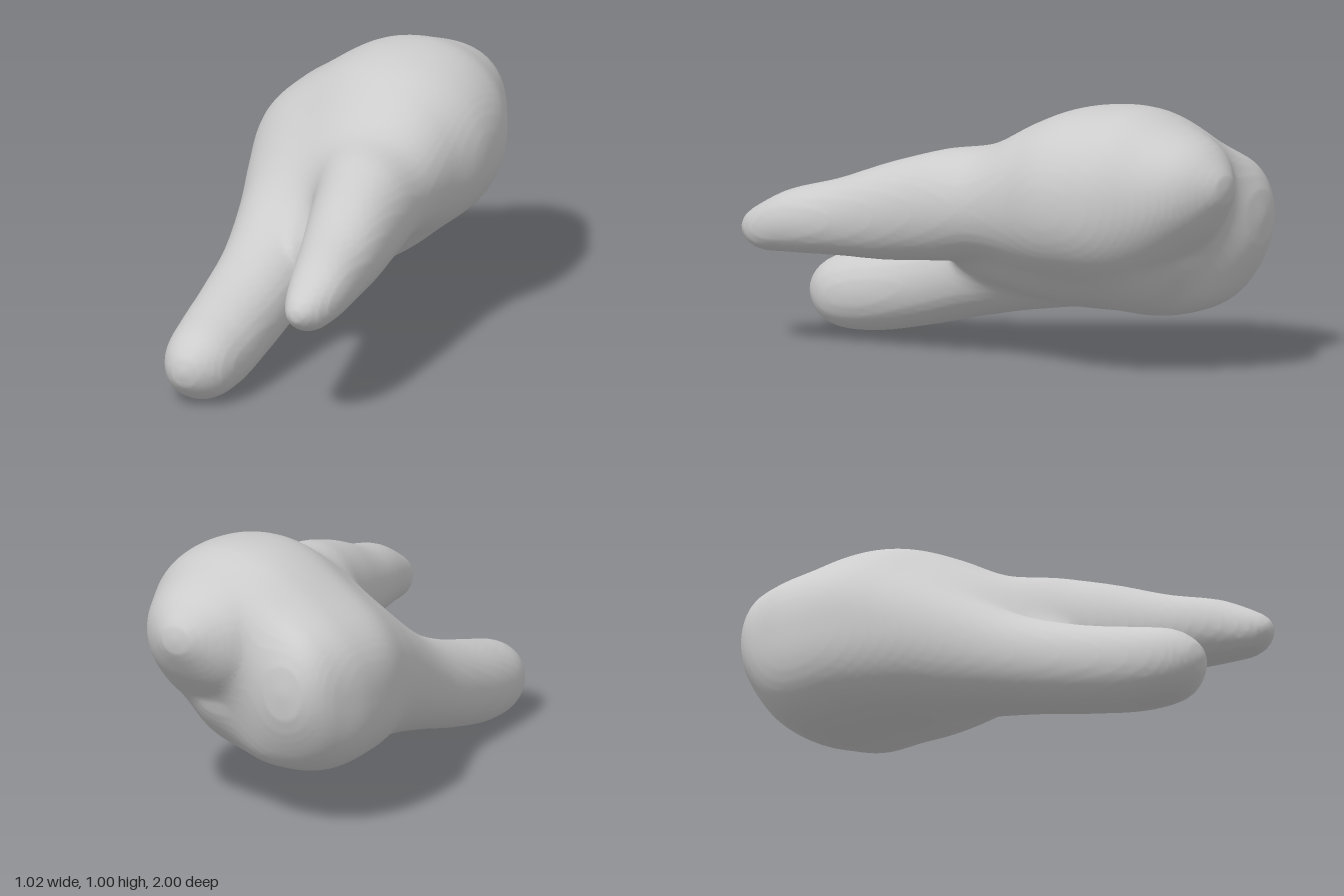
import * as THREE from 'three';

// Fused lobes running along z. Each row: z, centre x, centre y, half width, height / width.
const LOWER = [ // lower root flowing into the right crown lobe
  [-0.885, -0.31, 0.56, 0, 1.25],
  [-0.83, -0.275, 0.55, 0.165, 1.2],
  [-0.75, -0.22, 0.52, 0.26, 1.08],
  [-0.6, -0.175, 0.495, 0.335, 0.93],
  [-0.4, -0.165, 0.49, 0.33, 0.92],
  [-0.2, -0.145, 0.455, 0.285, 0.97],
  [0, -0.13, 0.39, 0.23, 1.05],
  [0.25, -0.115, 0.29, 0.185, 1.03],
  [0.5, -0.1, 0.21, 0.17, 1],
  [0.75, -0.08, 0.155, 0.157, 1],
  [0.9, -0.07, 0.14, 0.13, 1],
  [1.01, -0.07, 0.14, 0, 1],
];
const UPPER = [ // upper root flowing into the left crown lobe
  [-1.005, 0.1, 0.73, 0, 0.9],
  [-0.96, 0.1, 0.725, 0.11, 0.9],
  [-0.88, 0.095, 0.71, 0.205, 0.9],
  [-0.75, 0.09, 0.68, 0.29, 0.93],
  [-0.6, 0.09, 0.665, 0.36, 0.92],
  [-0.4, 0.105, 0.655, 0.375, 0.89],
  [-0.2, 0.15, 0.635, 0.295, 0.97],
  [0, 0.19, 0.6, 0.24, 0.91],
  [0.2, 0.255, 0.575, 0.195, 1.07],
  [0.4, 0.305, 0.54, 0.17, 1.08],
  [0.6, 0.35, 0.505, 0.145, 1],
  [0.8, 0.39, 0.475, 0.117, 1],
  [0.92, 0.4, 0.445, 0.083, 1],
  [1, 0.4, 0.44, 0, 1],
];
const WEB = [ // fills the underside between the roots and below the crown
  [-0.8, 0.06, 0.45, 0, 1],
  [-0.65, 0.08, 0.42, 0.14, 1],
  [-0.45, 0.09, 0.42, 0.15, 1],
  [-0.2, 0.1, 0.41, 0.14, 1],
  [0, 0.1, 0.41, 0.125, 1],
  [0.18, 0.09, 0.43, 0.085, 1],
  [0.31, 0.09, 0.43, 0, 1],
];
// Width of the soft blend between the lobes along z: tight at the fork, wide in the neck
const BLEND = [[-0.85, 0.17], [-0.6, 0.2], [-0.45, 0.2], [-0.2, 0.25], [0.05, 0.23], [0.2, 0.2], [0.32, 0.14], [0.5, 0.03]];

// Smooth (Hermite) reading of one column; straight continuation past the ends
function read(rows, z, value) {
  const n = rows.length - 1;
  const slope = (i) => (value(rows[i + 1]) - value(rows[i])) / (rows[i + 1][0] - rows[i][0]);
  const tangent = (i) => (i === 0 ? slope(0) : i === n ? slope(n - 1) : (slope(i - 1) + slope(i)) / 2);
  if (z <= rows[0][0]) return value(rows[0]) + tangent(0) * (z - rows[0][0]);
  if (z >= rows[n][0]) return value(rows[n]) + tangent(n) * (z - rows[n][0]);
  let i = 0;
  while (z > rows[i + 1][0]) i++;
  const h = rows[i + 1][0] - rows[i][0], t = (z - rows[i][0]) / h, t2 = t * t, t3 = t2 * t;
  return (2 * t3 - 3 * t2 + 1) * value(rows[i]) + (t3 - 2 * t2 + t) * h * tangent(i)
    + (3 * t2 - 2 * t3) * value(rows[i + 1]) + (t3 - t2) * h * tangent(i + 1);
}

// Same, held constant past the ends
function readHeld(rows, z, column) {
  const held = THREE.MathUtils.clamp(z, rows[0][0], rows[rows.length - 1][0]);
  return read(rows, held, (row) => row[column]);
}

// Cross-section of a lobe at z, a squared ellipse of power p; squared radii give rounded tips
function sectionAt(rows, z, p) {
  const r2 = read(rows, z, (row) => row[3] * row[3]);
  const r = Math.sign(r2) * Math.sqrt(Math.abs(r2));
  const [cx, cy, a] = [1, 2, 4].map((column) => readHeld(rows, z, column));
  return (x, y) => (Math.abs(x - cx) ** p + Math.abs((y - cy) / a) ** p) ** (1 / p) - r;
}

function softMin(d1, d2, k) {
  const h = Math.max(k - Math.abs(d1 - d2), 0) / k;
  return Math.min(d1, d2) - h * h * k / 4;
}

// Signed field of one slice: soft union of the lobes and the web
function sliceAt(z) {
  const boxy = (1 - THREE.MathUtils.smoothstep(z, -0.45, -0.05)) * THREE.MathUtils.smoothstep(z, -0.85, -0.65);
  const lower = sectionAt(LOWER, z, 2.1 + 0.45 * boxy);
  const upper = sectionAt(UPPER, z, 2.1 + 0.05 * boxy);
  const web = sectionAt(WEB, z, 2);
  const k = readHeld(BLEND, z, 1);
  return (x, y) => softMin(softMin(lower(x, y), upper(x, y), k), web(x, y), 0.09);
}

// Skin the field on a regular grid: one vertex per crossed cell, one quad per crossed edge
function skin(min, size, step) {
  const n = size.map((s) => Math.ceil(s / step) + 1);
  const stride = [1, n[0], n[0] * n[1]];
  const field = new Float32Array(n[0] * n[1] * n[2]);
  for (let k = 0; k < n[2]; k++) {
    const f = sliceAt(min[2] + k * step);
    for (let j = 0; j < n[1]; j++)
      for (let i = 0; i < n[0]; i++)
        field[i + j * stride[1] + k * stride[2]] = f(min[0] + i * step, min[1] + j * step);
  }
  const vertexOf = new Int32Array(field.length).fill(-1);
  const positions = [], quads = [];
  const eachCell = (visit) => {
    for (let k = 1; k < n[2] - 1; k++)
      for (let j = 1; j < n[1] - 1; j++)
        for (let i = 1; i < n[0] - 1; i++) visit([i, j, k], i + j * stride[1] + k * stride[2]);
  };
  eachCell((cell, at) => {
    const sum = [0, 0, 0];
    let count = 0;
    for (let axis = 0; axis < 3; axis++) {
      const b = (axis + 1) % 3, c = (axis + 2) % 3;
      for (let e = 0; e < 4; e++) {
        const ob = e & 1, oc = e >> 1;
        const start = at + ob * stride[b] + oc * stride[c];
        const f0 = field[start], f1 = field[start + stride[axis]];
        if ((f0 < 0) === (f1 < 0)) continue;
        sum[axis] += f0 / (f0 - f1);
        sum[b] += ob;
        sum[c] += oc;
        count++;
      }
    }
    if (!count) return;
    vertexOf[at] = positions.length / 3;
    for (let a = 0; a < 3; a++) positions.push(min[a] + (cell[a] + sum[a] / count) * step);
  });
  eachCell((cell, at) => {
    for (let axis = 0; axis < 3; axis++) {
      const inside = field[at] < 0;
      if (inside === field[at + stride[axis]] < 0) continue;
      const b = stride[(axis + 1) % 3], c = stride[(axis + 2) % 3];
      const q = [at - b - c, at - c, at, at - b].map((id) => vertexOf[id]);
      quads.push(inside ? q : q.reverse());
    }
  });
  return { positions, quads };
}

export function createModel() {
  const group = new THREE.Group();
  group.name = 'tooth';
  const enamel = new THREE.MeshStandardMaterial({ color: 0xcccccc });
  enamel.name = 'plain grey';

  const { positions, quads } = skin([-0.61, -0.09, -1.09], [1.22, 1.2, 2.18], 0.02);
  const whole = new THREE.BufferGeometry();
  whole.setAttribute('position', new THREE.Float32BufferAttribute(positions, 3));
  whole.setIndex(quads.flatMap(([a, b, c, d]) => [a, b, c, a, c, d]));
  whole.computeVertexNormals();

  // Crown and the two roots share the smooth skin
  const parts = { crown: [], lowerRoot: [], upperRoot: [] };
  for (const [a, b, c, d] of quads) {
    const [x, y, z] = positions.slice(a * 3, a * 3 + 3);
    const part = z < 0.32 ? 'crown' : x - 0.09 + (y - 0.41) * 0.7 < 0 ? 'lowerRoot' : 'upperRoot';
    parts[part].push(a, b, c, a, c, d);
  }
  for (const [name, index] of Object.entries(parts)) {
    const geometry = new THREE.BufferGeometry();
    geometry.setAttribute('position', whole.attributes.position);
    geometry.setAttribute('normal', whole.attributes.normal);
    geometry.setIndex(index);
    const mesh = new THREE.Mesh(geometry, enamel);
    mesh.name = name;
    group.add(mesh);
  }
  return group;
}
